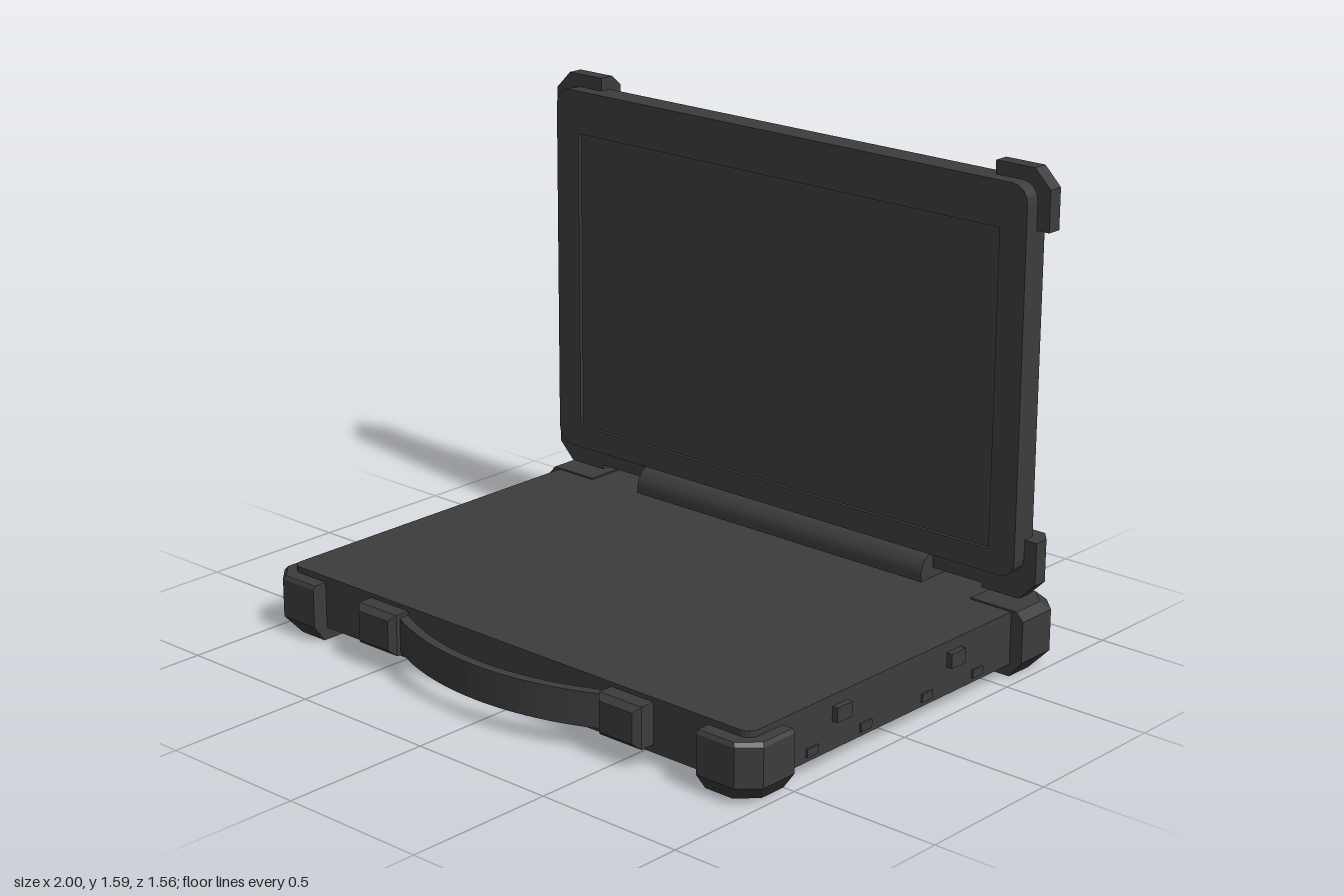
import * as THREE from 'three';
import { ConvexGeometry } from 'three/addons/geometries/ConvexGeometry.js';

const mat = new THREE.MeshStandardMaterial({ color: 0x3c3c3c });

export function createModel() {
  const root = new THREE.Group();
  const base = new THREE.Group();
  const lid = new THREE.Group();
  base.name = 'base';
  lid.name = 'lid';
  root.add(base, lid);

  const add = (parent, name, geo) => {
    const m = new THREE.Mesh(geo, mat);
    m.name = name;
    parent.add(m);
    return m;
  };
  // box given by its limits
  const box = (parent, name, x0, x1, y0, y1, z0, z1) =>
    add(parent, name, new THREE.BoxGeometry(x1 - x0, y1 - y0, z1 - z0))
      .position.set((x0 + x1) / 2, (y0 + y1) / 2, (z0 + z1) / 2);
  // rounded rectangle as a list of points
  const roundRect = (x0, x1, y0, y1, r, n = 4) => {
    const pts = [];
    [[x1 - r, y1 - r], [x0 + r, y1 - r], [x0 + r, y0 + r], [x1 - r, y0 + r]].forEach(([cx, cy], q) => {
      for (let i = 0; i <= n; i++) {
        const a = (q + i / n) * Math.PI / 2;
        pts.push(new THREE.Vector2(cx + r * Math.cos(a), cy + r * Math.sin(a)));
      }
    });
    return pts;
  };
  const extrude = (shape, depth) =>
    new THREE.ExtrudeGeometry(shape, { depth, bevelEnabled: false, curveSegments: 14 });
  // plan outline (x, z) raised from y0 to y1
  const plan = (shape, y0, y1) => extrude(shape, y1 - y0).rotateX(Math.PI / 2).translate(0, y1, 0);
  // front outline (x, y) from z0 to z1
  const slab = (shape, z0, z1) => extrude(shape, z1 - z0).translate(0, 0, z0);

  // outline of a bumper: inner edges at a0, b0; outer edges at a1, b1, chamfered
  const bumperRing = (a0, a1, b0, b1, inset) => {
    const sa = Math.sign(a1 - a0), sb = Math.sign(b1 - b0), c = 0.058;
    const A = a1 - sa * inset, B = b1 - sb * inset;
    return [[a0, b0], [A, b0], [A, B - sb * c], [A - sa * c, B], [a0, B]];
  };

  // base shell
  add(base, 'baseShell', plan(new THREE.Shape(roundRect(-0.955, 0.955, -0.71, 0.64, 0.035)), 0.04, 0.212));
  box(base, 'rearFootStrip', -0.6, 0.6, 0.01, 0.05, -0.705, -0.6);

  for (const s of [-1, 1]) {
    // base corner bumpers: [inner z, outer z, levels of height and inset]
    const corners = [
      ['frontBumper', 0.5, 0.692, [[0, 0.04], [0.055, 0], [0.18, 0], [0.192, 0.008]]],
      ['rearBumper', -0.57, -0.772, [[0, 0.045], [0.055, 0], [0.19, 0], [0.217, 0.025]]],
    ];
    for (const [name, zi, zo, levels] of corners) {
      const pts = levels.flatMap(([y, inset]) =>
        bumperRing(s * 0.8, s, zi, zo, inset).map(([x, z]) => new THREE.Vector3(x, y, z)));
      add(base, name, new ConvexGeometry(pts));
    }

    // lid corner bumpers, bevelled towards the back
    for (const [name, yi, yo] of [['lidTopBumper', 1.4, 1.588], ['lidBottomBumper', 0.43, 0.235]]) {
      const pts = [[-0.625, 0], [-0.675, 0], [-0.716, 0.035]].flatMap(([z, inset]) =>
        bumperRing(s * 0.8, s, yi, yo, inset).map(([x, y]) => new THREE.Vector3(x, y, z)));
      add(lid, name, new ConvexGeometry(pts));
    }

    // lower lobes of the lid beside the hinge
    const lobe = [];
    for (const [z, d] of [[-0.625, 0], [-0.665, 0], [-0.705, 0.03]]) {
      for (const [x, y] of [[0.61, 0.36], [0.61, 0.25 + d], [0.9, 0.25 + d], [0.955 - d, 0.3], [0.955 - d, 0.36]])
        lobe.push(new THREE.Vector3(s * x, y, z));
    }
    add(lid, 'lidLobe', new ConvexGeometry(lobe));

    // handle mounts with bevelled front
    const mount = [];
    for (const [z, d] of [[0.62, 0], [0.69, 0], [0.71, 0.018]]) {
      for (const x of [0.425 + d, 0.59 - d])
        for (const y of [0.065 + d, 0.198 - d]) mount.push(new THREE.Vector3(s * x, y, z));
    }
    add(base, 'handleMount', new ConvexGeometry(mount));

    // rear standoff blocks
    const block = [];
    for (const [z, y0, y1] of [[-0.7, 0.04, 0.2], [-0.76, 0.04, 0.2], [-0.78, 0.06, 0.18]]) {
      for (const x of [0.515, 0.6]) block.push(new THREE.Vector3(s * x, y0, z), new THREE.Vector3(s * x, y1, z));
    }
    add(base, 'rearBlock', new ConvexGeometry(block));

    // side latches and port covers
    const side = (name, z, w, y0, y1, x) =>
      box(base, name, Math.min(s * 0.94, s * x), Math.max(s * 0.94, s * x), y0, y1, z - w / 2, z + w / 2);
    for (const z of [0.247, -0.287]) side('sideLatch', z, 0.068, 0.13, 0.177, 0.975);
    for (const z of [0.372, 0.13, -0.157, -0.403]) side('sidePort', z, 0.05, 0.056, 0.082, 0.962);
  }

  // carrying handle: a curved band
  const R = 0.933, zc = 0.76 - R, half = 0.49;
  const band = new THREE.Shape();
  band.absarc(0, zc, R + 0.016, Math.PI / 2 - half, Math.PI / 2 + half, false);
  band.absarc(0, zc, R - 0.016, Math.PI / 2 + half, Math.PI / 2 - half, true);
  add(base, 'handle', plan(band, 0.075, 0.185));

  // rear ports and slots
  for (const x of [0.18, -0.15, -0.425]) box(base, 'rearPort', x - 0.034, x + 0.034, 0.105, 0.155, -0.724, -0.7);
  for (const x of [0.25, 0.15, 0.07, -0.01, -0.32, -0.39])
    box(base, 'rearSlot', x - 0.02, x + 0.02, 0.075, 0.083, -0.714, -0.7);

  // hinge cover: domed profile along x
  const dome = new THREE.Shape();
  dome.moveTo(-0.71, 0.2);
  dome.lineTo(-0.58, 0.2);
  dome.absarc(-0.645, 0.234, 0.065, 0, Math.PI, false);
  add(base, 'hingeCover', extrude(dome, 1.2).rotateY(-Math.PI / 2).translate(0.6, 0, 0));

  // lid frame with screen opening
  const frame = new THREE.Shape(roundRect(-0.955, 0.955, 0.315, 1.545, 0.055));
  frame.holes.push(new THREE.Path(roundRect(-0.857, 0.857, 0.39, 1.402, 0.002, 1).reverse()));
  add(lid, 'lidFrame', slab(frame, -0.665, -0.575));
  box(lid, 'screen', -0.87, 0.87, 0.38, 1.41, -0.65, -0.587);

  // lid back, bevelled all round
  const back = [[-0.664, 0], [-0.711, 0.035]].flatMap(([z, d]) =>
    roundRect(-0.955 + d, 0.955 - d, 0.315 + d, 1.545 - d, 0.055 - d * 0.4)
      .map((p) => new THREE.Vector3(p.x, p.y, z)));
  add(lid, 'lidBack', new ConvexGeometry(back));

  return root;
}
